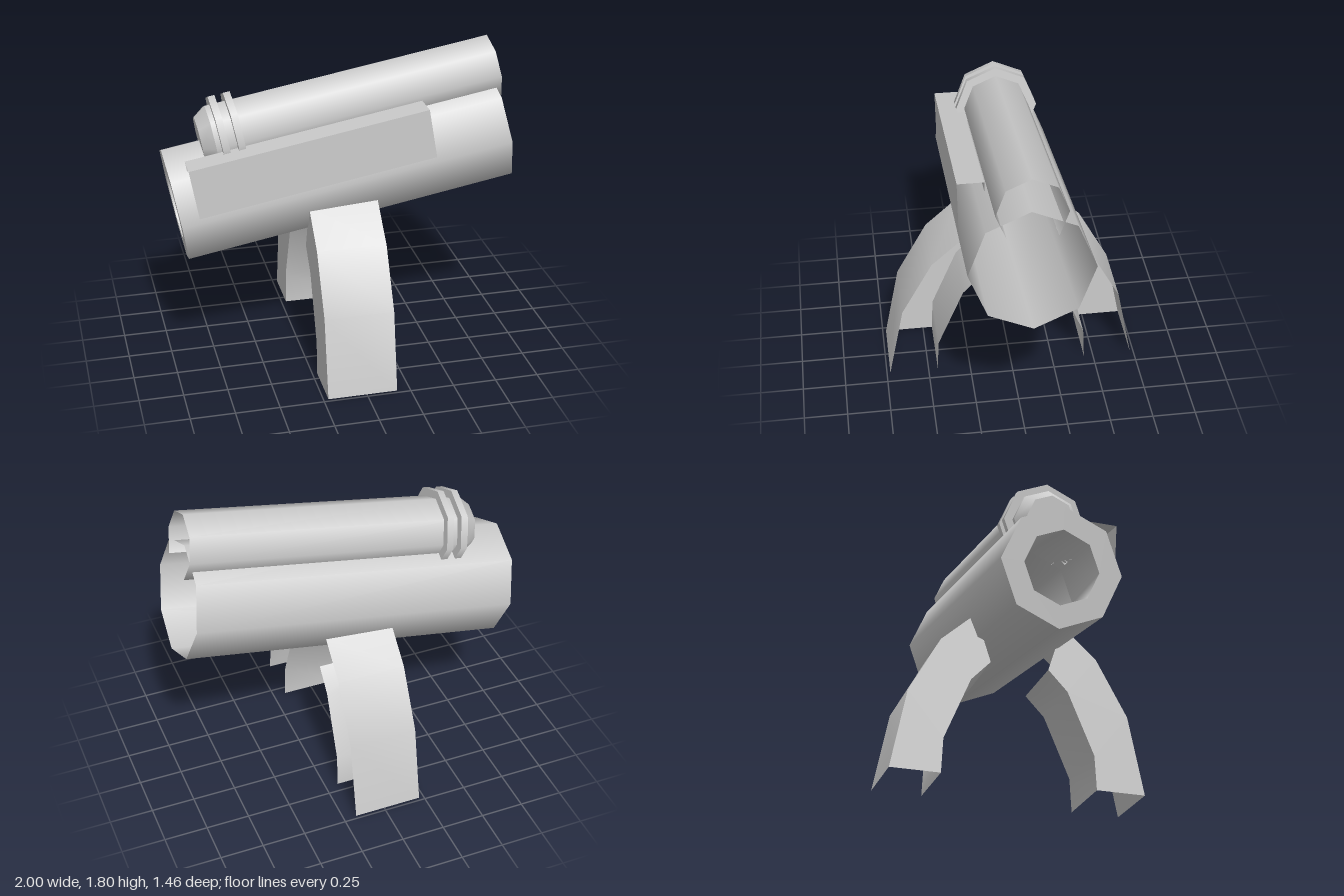
import * as THREE from 'three';
import { mergeGeometries } from 'three/addons/utils/BufferGeometryUtils.js';

const material = new THREE.MeshStandardMaterial({ color: 0xcccccc, side: THREE.DoubleSide });

function mesh(name, geometry) {
  const m = new THREE.Mesh(geometry, material);
  m.name = name;
  return m;
}

// Octagonal turned part lying along x: points are [radius, position along the axis].
// Each profile step is its own band, so rims stay sharp and walls stay smooth.
function turned(name, profile, openBelow = false) {
  const bands = [];
  for (let i = 0; i < profile.length - 1; i++) {
    const pts = [profile[i], profile[i + 1]].map(([r, s]) => new THREE.Vector2(r, s));
    bands.push(openBelow
      ? new THREE.LatheGeometry(pts, 6, Math.PI * 0.75, Math.PI * 1.5)
      : new THREE.LatheGeometry(pts, 8));
  }
  const geometry = mergeGeometries(bands);
  geometry.rotateZ(-Math.PI / 2);
  return mesh(name, geometry);
}

// Strip of quads between two polylines of equal length
function strip(a, b) {
  const pos = [], idx = [];
  a.forEach((p, i) => {
    pos.push(...p, ...b[i]);
    if (i) {
      const k = 2 * i;
      idx.push(k - 2, k - 1, k, k - 1, k + 1, k);
    }
  });
  const g = new THREE.BufferGeometry();
  g.setAttribute('position', new THREE.Float32BufferAttribute(pos, 3));
  g.setIndex(idx);
  g.computeVertexNormals();
  return g;
}

// Bent channel leg, open on its +x side; side is +1 or -1 along z
function leg(name, side) {
  const outer = [[0.73, 0], [0.64, 0.455], [0.46, 0.785], [0.26, 0.968]];
  const inner = [[0.445, 0], [0.435, 0.2], [0.283, 0.565], [0.17, 0.685]];
  const at = (line, x) => line.map(([z, y]) => [x, y, side * z]);
  const x0 = -0.222, x1 = 0.175;
  const rails = [at(outer, x1), at(outer, x0), at(inner, x0), at(inner, x1)];
  if (side < 0) rails.reverse();
  const walls = [0, 1, 2].map((i) => strip(rails[i + 1], rails[i]));
  return mesh(name, mergeGeometries(walls));
}

export function createModel() {
  const model = new THREE.Group();
  model.name = 'model';

  // Tilted upper assembly
  const body = new THREE.Group();
  body.name = 'tiltedBody';
  body.position.set(-0.003, 1.11, -0.008);
  body.rotation.z = THREE.MathUtils.degToRad(10);
  model.add(body);

  // Main tube: open at the raised end, rimmed at the low end
  body.add(turned('mainTube', [[0.21, -0.954], [0.338, -0.954], [0.338, 0.954]]));
  // Closed recess behind the rim
  body.add(turned('recess', [[0.21, -0.954], [0.27, -0.38], [0.19, -0.07], [0, -0.07]]));

  // Upper tube with chamfered nose and two collars, all open underneath
  const upper = new THREE.Group();
  upper.name = 'upperTube';
  upper.position.y = 0.342;
  upper.add(turned('upperTubeShell', [[0, -0.735], [0.138, -0.735], [0.19, -0.664], [0.19, 0.985]], true));
  for (const s of [-0.636, -0.549]) {
    upper.add(turned('collar', [[0.19, s], [0.238, s], [0.238, s + 0.039], [0.19, s + 0.039]], true));
  }
  body.add(upper);

  // Side housing: folded sheet, open at both ends
  const fold = [[0.03, 0.338], [0.32, 0.338], [0.32, 0.19], [0.24, 0.19]];
  const edge = (x) => fold.map(([y, z]) => [x, y, z]);
  const left = edge(-0.85), right = edge(0.512);
  body.add(mesh('sideHousing', mergeGeometries([0, 1, 2].map((i) =>
    strip([left[i], left[i + 1]], [right[i], right[i + 1]])))));

  // Legs
  model.add(leg('frontLeg', 1), leg('backLeg', -1));
  return model;
}
